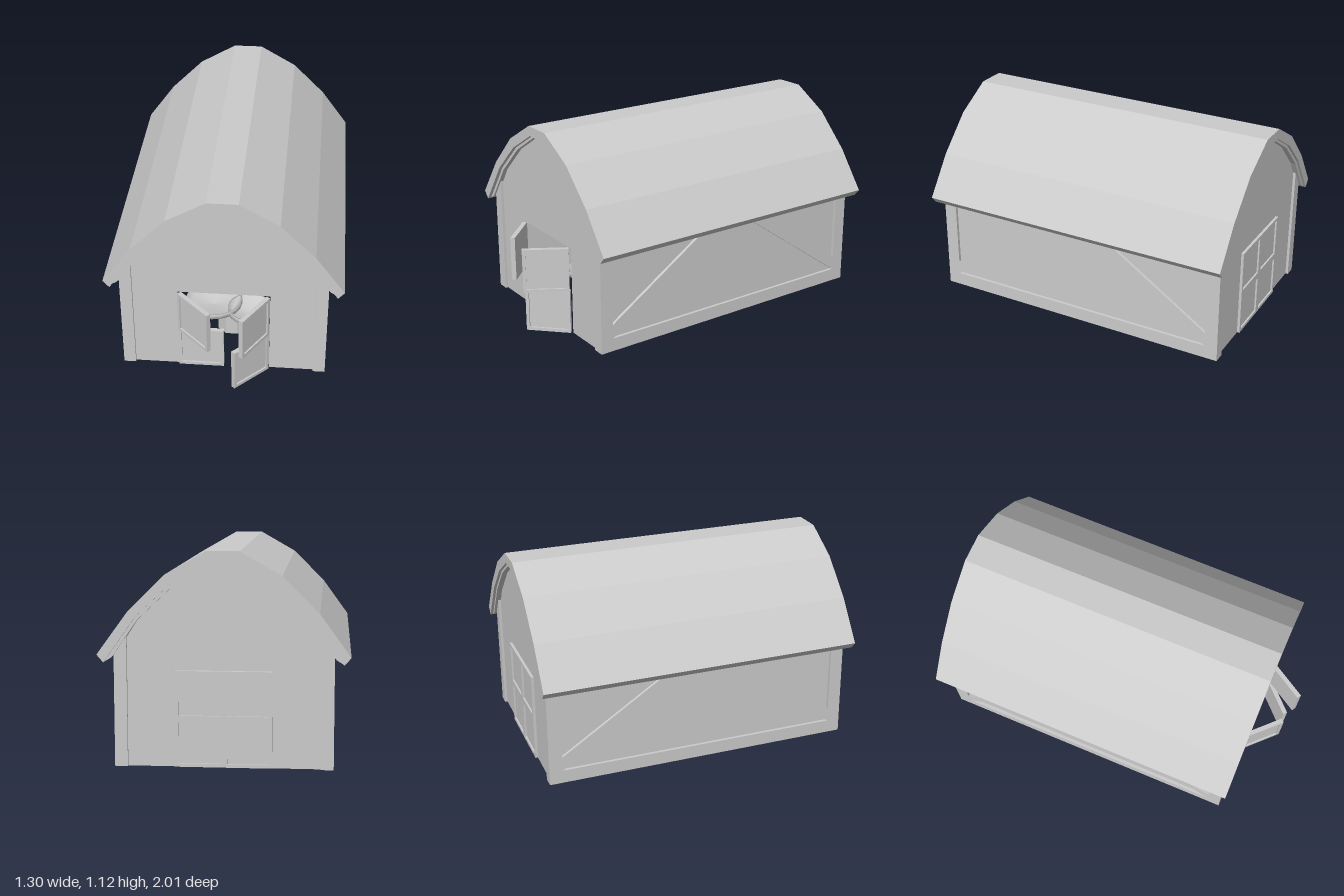
import * as THREE from 'three';

const mat = new THREE.MeshStandardMaterial({ color: 0xcccccc, flatShading: true });
const smoothMat = new THREE.MeshStandardMaterial({ color: 0xcccccc, side: THREE.DoubleSide });
const MID = -0.09; // middle of the building along z

function add(parent, name, geometry, x = 0, y = 0, z = 0, material = mat) {
  const mesh = new THREE.Mesh(geometry, material);
  mesh.name = name;
  mesh.position.set(x, y, z);
  parent.add(mesh);
  return mesh;
}

const shapeOf = (pts) => new THREE.Shape(pts.map(([x, y]) => new THREE.Vector2(x, y)));
const holeOf = (pts) => new THREE.Path(pts.map(([x, y]) => new THREE.Vector2(x, y)));
const extrude = (shape, depth) => new THREE.ExtrudeGeometry(shape, { depth, bevelEnabled: false });
const flip = (pts) => pts.map(([x, y]) => [-x, y]);
const rect = (x0, y0, x1, y1) => [[x0, y0], [x1, y0], [x1, y1], [x0, y1]];

// Half profiles of the arched roof, eave to ridge
const OUTER = [[0.65, 0.59], [0.49, 0.81], [0.3, 1.0], [0.085, 1.123]];
const UNDER = [[0.615, 0.55], [0.45, 0.785], [0.27, 0.953], [0.073, 1.068]];
const LINING = [[0.575, 0.575], [0.44, 0.77], [0.26, 0.94], [0.065, 1.058]];

// Full arch, right eave to left eave
const arch = (half) => [...half, ...flip(half).reverse()];
const shell = (outer, inner) => shapeOf([...arch(outer), ...arch(inner).reverse()]);

// Door leaf framed on its outer face, hinged at its origin; dir = +1 extends to +x, -1 to -x
function doorLeaf(dir, y, angle) {
  const leaf = new THREE.Group();
  leaf.name = 'doorLeaf';
  const w = 0.253, h = 0.252, b = 0.018;
  const frame = shapeOf(rect(0, 0, w, h));
  frame.holes.push(holeOf(rect(b, b, w - b, h - b)));
  const x0 = dir > 0 ? 0 : -w;
  add(leaf, 'leafFrame', extrude(frame, 0.026), x0, 0, -0.026);
  add(leaf, 'leafPanel', new THREE.BoxGeometry(w - 2 * b, h - 2 * b, 0.016), x0 + w / 2, h / 2, -0.018);
  leaf.position.set(-dir * 0.253, y, 0);
  leaf.rotation.y = -dir * angle;
  return leaf;
}

// Gable end facing +z, with doorway, corner posts and four door leaves
function gableEnd(name, openings) {
  const end = new THREE.Group();
  end.name = name;
  const top = [[0.55, 0.6], ...LINING.slice(1)];
  const wall = shapeOf([
    [-0.253, 0], [-0.253, 0.507], [0.253, 0.507], [0.253, 0],
    [0.55, 0], ...arch(top), [-0.55, 0],
  ]);
  add(end, 'gableWall', extrude(wall, 0.05), 0, 0, -0.065);

  for (const s of [1, -1]) {
    const pts = [[0.5, 0], [0.567, 0], [0.567, 0.605], [0.5, 0.685]];
    add(end, 'cornerPost', extrude(shapeOf(s > 0 ? pts : flip(pts)), 0.075), 0, 0, -0.075);
  }
  const doors = new THREE.Group();
  doors.name = 'doors';
  for (const [dir, y, angle] of openings) doors.add(doorLeaf(dir, y, angle));
  end.add(doors);
  return end;
}

// Long wall facing +x: recessed panel behind a frame with two diagonal braces
function sideWall(name) {
  const side = new THREE.Group();
  side.name = name;
  const frame = shapeOf(rect(-0.875, 0, 0.875, 0.605));
  frame.holes.push(holeOf([[-0.805, 0.075], [0.805, 0.075], [0.06, 0.598], [-0.06, 0.598]]));
  const corner = [[0.805, 0.155], [0.805, 0.598], [0.127, 0.598]];
  for (const pts of [corner, flip(corner)]) frame.holes.push(holeOf(pts));
  const boards = add(side, 'bracedFrame', extrude(frame, 0.02), 0.547, 0, 0);
  boards.rotation.y = Math.PI / 2;
  add(side, 'sidePanel', new THREE.BoxGeometry(0.05, 0.605, 1.74), 0.525, 0.3025, 0);
  return side;
}

// Shallow open bowl with an upright rim
function bowl(parent, x, z, r) {
  const profile = [[0, 0.125], [r * 0.5, 0.13], [r * 0.85, 0.145], [r, 0.158], [r, 0.185],
    [r * 0.93, 0.185], [r * 0.8, 0.158], [0, 0.14]]
    .map(([a, b]) => new THREE.Vector2(a, b));
  add(parent, 'bowl', new THREE.LatheGeometry(profile, 20), x, 0, z, smoothMat);
}

export function createModel() {
  const barn = new THREE.Group();
  barn.name = 'barn';

  // Roof, its slightly shorter lining, and the ceiling just above the doorways
  add(barn, 'roof', extrude(shell(OUTER, UNDER), 1.82), 0, 0, -1);
  add(barn, 'roofLining', extrude(shell(UNDER, LINING), 1.785), 0, 0, -0.985);
  add(barn, 'ceiling', new THREE.BoxGeometry(1.02, 0.02, 1.64), 0, 0.53, MID);

  // Front: three leaves ajar, one lower leaf closed
  const front = gableEnd('frontEnd', [
    [1, 0.002, 0], [1, 0.254, 0.785], [-1, 0.002, 0.785], [-1, 0.254, 1.02],
  ]);
  front.position.z = 0.79;
  barn.add(front);

  // Back: all leaves closed
  const back = gableEnd('backEnd', [[1, 0.002, 0], [1, 0.254, 0], [-1, 0.002, 0], [-1, 0.254, 0]]);
  back.rotation.y = Math.PI;
  back.position.z = -0.97;
  barn.add(back);

  // Long sides
  for (const s of [1, -1]) {
    const side = sideWall(s > 0 ? 'leftSide' : 'rightSide');
    side.position.z = MID;
    if (s < 0) side.rotation.y = Math.PI;
    barn.add(side);
  }

  // Pair of bowls on an eight-sided stand, just inside the doorway
  const feeder = new THREE.Group();
  feeder.name = 'feeder';
  const stand = add(feeder, 'stand', new THREE.CylinderGeometry(0.09, 0.09, 0.135, 8), 0.02, 0.0675, 0.42);
  stand.rotation.y = Math.PI / 8;
  bowl(feeder, -0.09, 0.41, 0.165);
  bowl(feeder, 0.126, 0.48, 0.13);
  barn.add(feeder);

  return barn;
}
